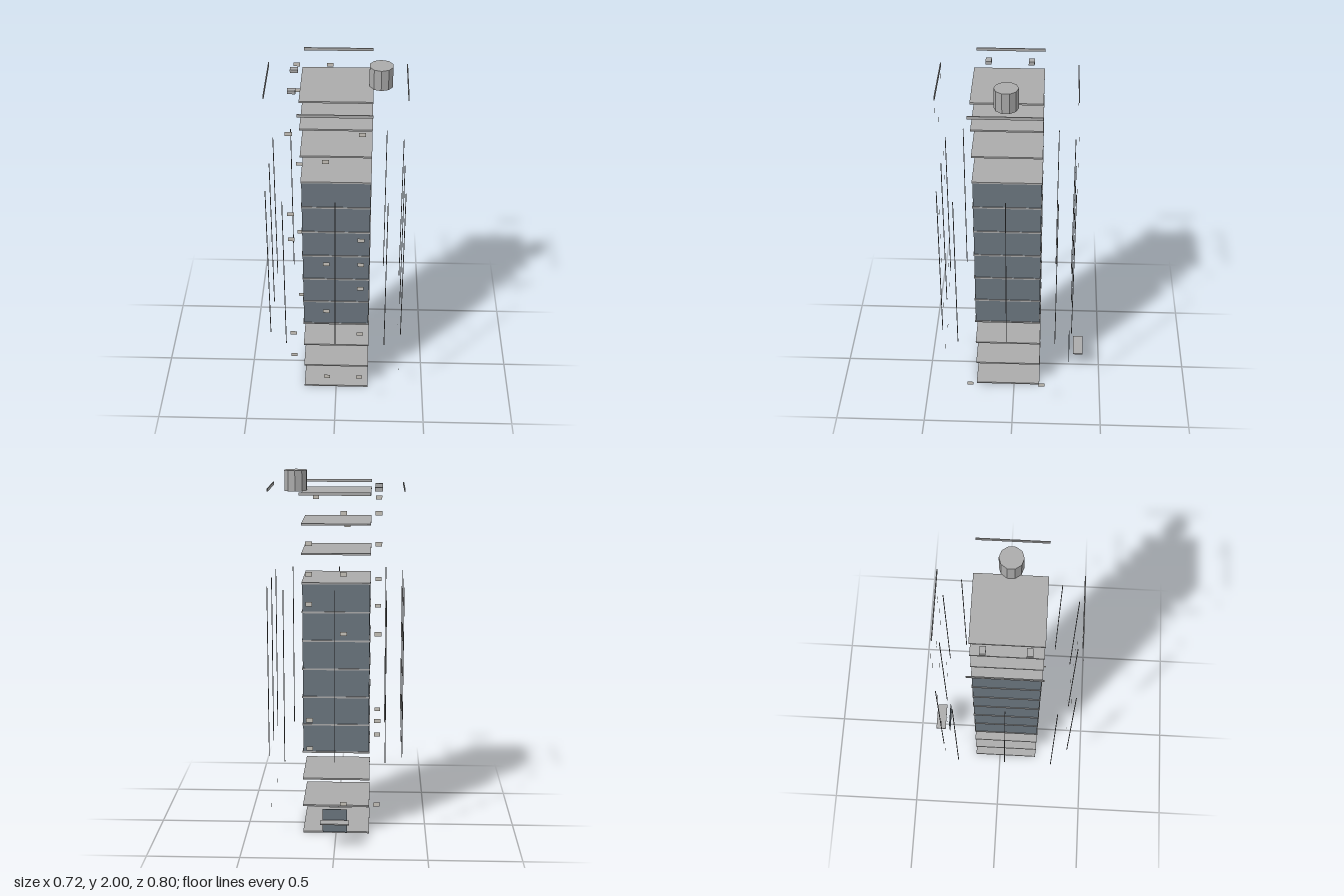
import * as THREE from 'three';

const material = (name, color, side = THREE.FrontSide) => {
  const m = new THREE.MeshStandardMaterial({ color, side });
  m.name = name;
  return m;
};

export function createModel() {
  const concrete = material('concrete grey', 0xababab);
  const glass = material('slate glass', 0x6b767f);
  const metal = material('dark metal', 0x6e6e6e);
  const casing = material('pale casing', 0xc8c4bc, THREE.DoubleSide);

  const model = new THREE.Group();
  model.name = 'tower';

  const add = (name, geometry, mat, x, y, z) => {
    const mesh = new THREE.Mesh(geometry, mat);
    mesh.name = name;
    mesh.position.set(x, y, z);
    model.add(mesh);
    return mesh;
  };
  const box = (name, w, h, d, mat, x, y, z) =>
    add(name, new THREE.BoxGeometry(w, h, d), mat, x, y, z);

  const STOREY = 0.157;  // floor to floor
  const SLAB = 0.009;    // slab thickness
  const WIDTH = 0.368;   // slab width and depth
  const CZ = 0.036;      // tower axis in z
  const OUT = 0.359;     // distance of the facade parts from the axis

  // Floor slabs
  for (let i = 0; i <= 12; i++) {
    box('floorSlab', WIDTH, SLAB, WIDTH, concrete, 0, i * STOREY + SLAB / 2, CZ);
  }

  // Glazed storeys in the middle of the tower
  const bay = STOREY - SLAB;
  for (let i = 3; i < 9; i++) {
    box('glazedStorey', 0.36, bay, 0.36, glass, 0, i * STOREY + SLAB + bay / 2, CZ);
  }

  // Mullions, three on each side
  const bottom = 0.48, top = 1.415;
  for (const side of [-1, 1]) {
    for (const offset of [-0.268, 0, 0.268]) {
      box('mullion', 0.004, top - bottom, 0.004, metal, offset, (top + bottom) / 2, CZ + side * 0.36);
      box('mullion', 0.004, top - bottom, 0.004, metal, side * 0.36, (top + bottom) / 2, CZ + offset);
    }
    // Parapet rails
    box('parapet', WIDTH, 0.016, 0.005, concrete, 0, 1.91, CZ + side * OUT);
    box('parapet', 0.005, 0.016, WIDTH, concrete, side * OUT, 1.91, CZ);
  }

  // Roof tank and vent boxes
  add('roofTank', new THREE.CylinderGeometry(0.062, 0.062, 0.11, 10).toNonIndexed(),
    concrete, 0.223, 1.945, CZ).geometry.computeVertexNormals();
  for (const z of [-0.078, 0.147]) {
    box('roofVent', 0.041, 0.019, 0.031, concrete, -0.224, 1.91, z);
  }

  // Entrance panel and canopy at the back
  box('entrancePanel', 0.132, 0.132, 0.003, glass, 0, 0.143, -0.319);
  box('entranceCanopy', 0.156, 0.006, 0.057, concrete, 0, 0.153, -0.3715);

  // Flat cooling unit panels; each row lists the storeys in its column
  const panel = new THREE.PlaneGeometry(0.035, 0.023);
  const columns = [
    { x: -0.225, front: [1, 2, 6, 7, 10], back: [0, 3, 6, 9, 10] },
    { x: -0.046, front: [0, 3, 5, 9], back: [0, 6, 8, 10] },
    { x: 0.134, front: [0, 2, 4, 5, 6, 10], back: [2, 3, 7, 8, 9] },
  ];
  for (const { x, front, back } of columns) {
    for (const n of front) add('coolingPanel', panel, casing, x, 0.244 + n * STOREY, CZ + 0.366);
    for (const n of back) {
      add('coolingPanel', panel, casing, x, 0.244 + n * STOREY, CZ - 0.366).rotation.y = Math.PI;
    }
  }
  for (const z of [0.241, -0.162]) {
    add('coolingPanel', panel, casing, 0.361, 0.165, z).rotation.y = Math.PI / 2;
  }

  return model;
}
